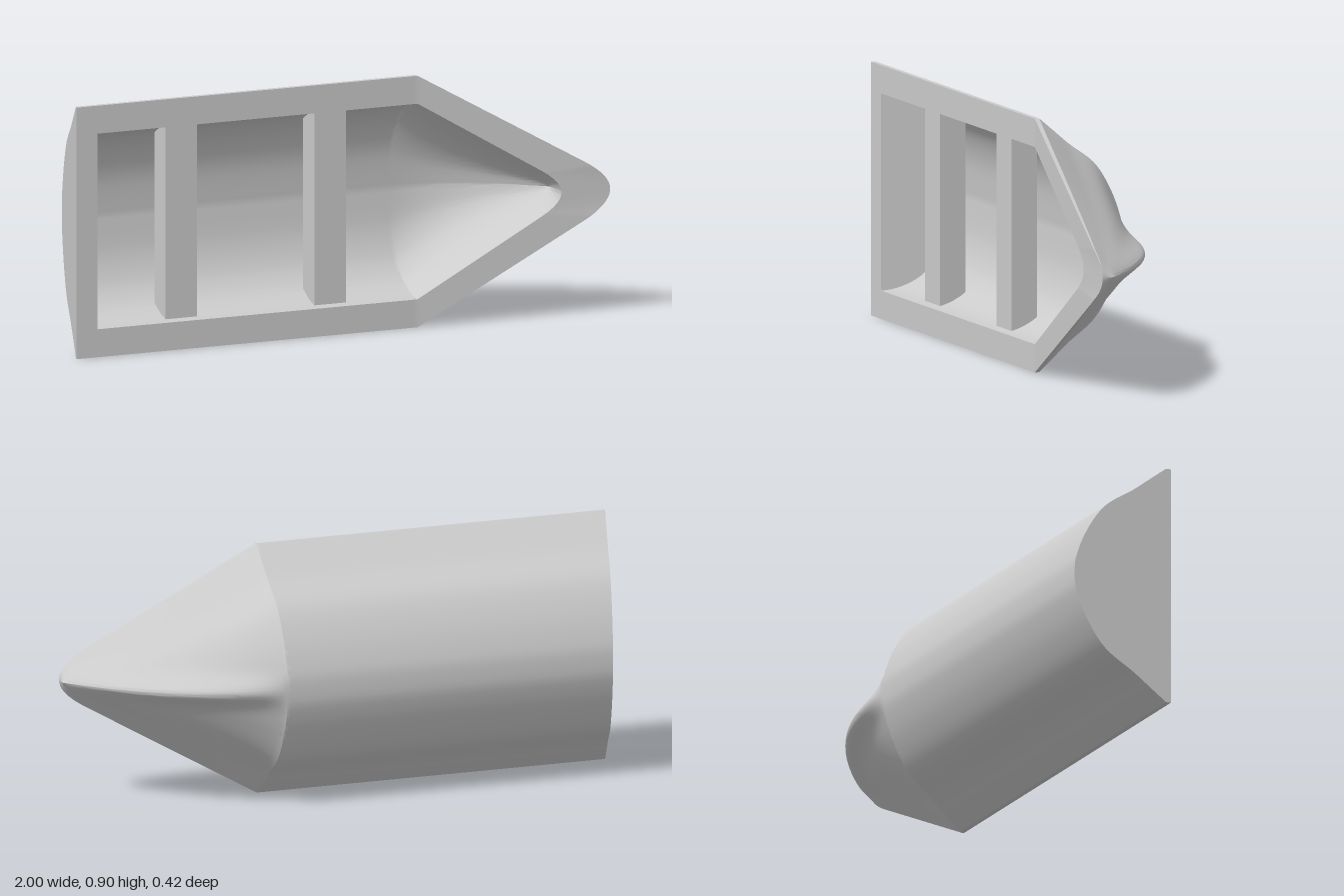
import * as THREE from 'three';
import { toCreasedNormals } from 'three/addons/utils/BufferGeometryUtils.js';

const MID = 0.45; // height of the keel line
const lerp = THREE.MathUtils.lerp;

// Half profiles, rim to keel: (fraction of half width, fraction of depth)
function halfProfile(pairs) {
  const pts = pairs.map(([f, d]) => new THREE.Vector2(f, d));
  return new THREE.SplineCurve(pts).getSpacedPoints(36);
}
const outerProfile = [new THREE.Vector2(1, 0), ...halfProfile(
  [[1, 0.05], [0.89, 0.22], [0.78, 0.39], [0.61, 0.68], [0.38, 0.87], [0.14, 0.983], [0, 1]])];
const innerProfile = [new THREE.Vector2(1, 0), ...halfProfile(
  [[1, 0.02], [0.98, 0.2], [0.93, 0.4], [0.84, 0.6], [0.66, 0.8], [0.38, 0.94], [0, 1]])];

// Rim height, rising towards the bow
const rimZ = x => 0.133 + 0.079 * THREE.MathUtils.clamp((x - 0.3) / 0.63, 0, 1);

// Plan taper of the bow: straight, then a rounded nose (t = 0..1)
function taper(t) {
  if (t < 0.86) return 1 - 0.889 * t;
  const q = Math.sqrt(Math.max(0, 1 - t) / 0.14);
  return q * q * 0.235 + 2 * q * (1 - q) * 0.111;
}

// One cross-section from the +y rim over the keel to the -y rim
function section(profile, x, t, o) {
  const w = o.halfWidth * taper(t), rim = rimZ(x);
  const keel = o.floor + o.rise * Math.pow(t, 2.15);
  const ridge = o.ridge * Math.sin(Math.PI * Math.pow(t, 0.8));
  const half = profile.map(({ x: f, y: d }) => {
    const vee = Math.min(1, (1 - d) / 0.95);
    const y = w * lerp(f, vee, o.vee * Math.pow(t, 0.7));
    const z = rim + (keel + ridge - rim) * d - ridge * d * Math.exp(-((y / 0.045) ** 2));
    const rake = o.stern ? 0.27 * (rim - z) : 0;
    return [x + rake, y, z];
  });
  const mirrored = half.slice(0, -1).reverse().map(([a, y, z]) => [a, -y, z]);
  return [...half, ...mirrored].map(([a, y, z]) => [a, y + MID, z]);
}

// Surface over rows of points
function grid(rows, flip = false) {
  const n = rows[0].length, index = [];
  for (let i = 0; i < rows.length - 1; i++) {
    for (let j = 0; j < n - 1; j++) {
      const a = i * n + j, b = a + n, c = a + 1, d = b + 1;
      if (flip) index.push(a, c, b, c, d, b);
      else index.push(a, b, c, c, b, d);
    }
  }
  const g = new THREE.BufferGeometry();
  g.setAttribute('position', new THREE.Float32BufferAttribute(rows.flat(2), 3));
  g.setIndex(index);
  return toCreasedNormals(g, 0.5);
}

// Pairs the two sides of a section to close it
function capRows(sec) {
  const last = sec.length - 1;
  return sec.slice(0, last / 2 + 1).map((p, j) => [p, sec[last - j]]);
}

export function createModel() {
  const boat = new THREE.Group();
  boat.name = 'boat';
  const material = new THREE.MeshStandardMaterial({ color: 0xcccccc });
  const add = (name, geometry) => {
    const mesh = new THREE.Mesh(geometry, material);
    mesh.name = name;
    boat.add(mesh);
    return mesh;
  };

  // Stations: negative values run along the straight body, 0..1 along the bow
  const stations = [-1, -0.6, -0.3, -0.05, -0.01, 0, 0.01, 0.03];
  for (let i = 1; i <= 20; i++) stations.push(0.03 + 0.83 * i / 20);
  for (let i = 1; i <= 12; i++) stations.push(1 - 0.14 * (1 - i / 12) ** 2);

  const outer = [], inner = [];
  stations.forEach((s, i) => {
    const t = Math.max(0, s), stern = i === 0;
    outer.push(section(outerProfile, s < 0 ? 0.3 + 1.3 * s : 0.3 + 0.7 * s, t,
      { halfWidth: 0.45, floor: -0.21, rise: 0.38, ridge: 0.05, vee: 0.75, stern }));
    inner.push(section(innerProfile, s < 0 ? 0.3 + 1.22 * s : 0.3 + 0.52 * s, t,
      { halfWidth: 0.35, floor: -0.11, rise: 0.2, ridge: 0, vee: 0.35, stern }));
  });

  // Hull skins
  add('outerHull', grid(outer));
  add('innerHull', grid(inner, true));

  // Rim on both sides and across the stern
  const last = outer[0].length - 1;
  add('leftRim', grid(outer.map((o, i) => [o[0], inner[i][0]]), true));
  add('rightRim', grid(outer.map((o, i) => [o[last], inner[i][last]])));
  add('sternRim', grid([[outer[0][0], outer[0][last]], [inner[0][0], inner[0][last]]], true));

  // Raked transom
  add('outerTransom', grid(capRows(outer[0])));
  add('innerTransom', grid(capRows(inner[0]), true));

  // Bench seats
  for (const x of [-0.585, -0.018]) {
    add('bench', new THREE.BoxGeometry(0.12, 0.696, 0.1)).position.set(x, MID, 0.047);
  }
  return boat;
}
